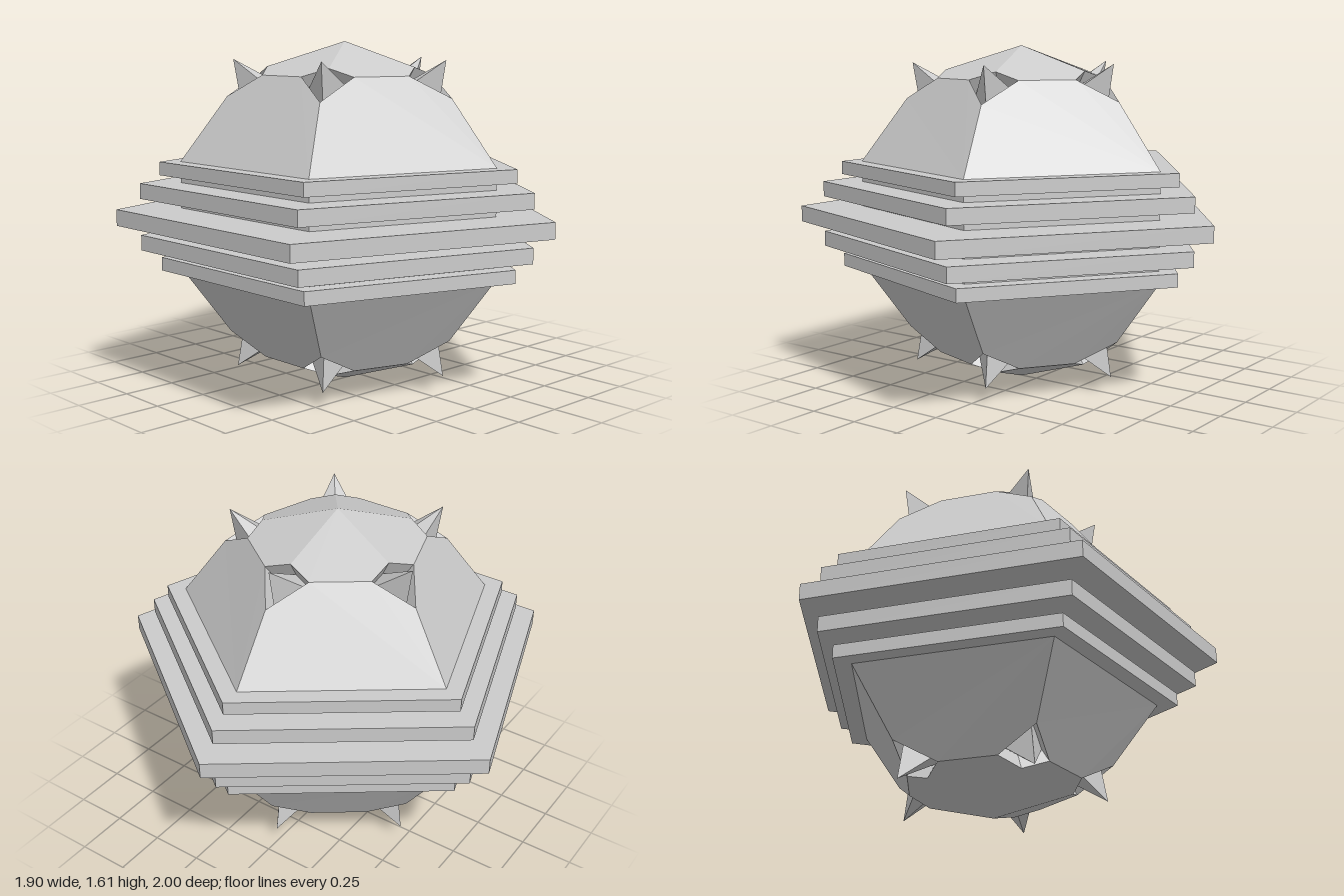
import * as THREE from 'three';

const MID = 0.805; // mirror height of the whole solid
const AXIS = -0.086; // x of the central axis
const STEP = (Math.PI * 2) / 5;
const material = () => new THREE.MeshStandardMaterial({ color: 0xcccccc, flatShading: true });

// Cross-section point (radial, y, sideways) turned to corner k
function at(k, r, y, s = 0) {
  const c = Math.cos(k * STEP), n = Math.sin(k * STEP);
  return new THREE.Vector3(r * c - s * n, y - MID, r * n + s * c);
}

// Flat-shaded mesh from convex polygons, optionally mirrored top to bottom
function polyMesh(name, polygons, flip) {
  const pos = [];
  for (const poly of polygons) {
    for (let i = 1; i < poly.length - 1; i++) {
      const tri = [poly[0], poly[i], poly[i + 1]];
      if (flip) tri.reverse();
      for (const p of tri) pos.push(p.x, flip ? -p.y : p.y, p.z);
    }
  }
  const g = new THREE.BufferGeometry();
  g.setAttribute('position', new THREE.Float32BufferAttribute(pos, 3));
  g.computeVertexNormals();
  const mesh = new THREE.Mesh(g, material());
  mesh.name = name;
  mesh.position.set(AXIS, MID, 0);
  return mesh;
}

// Corner opening: lower corner, two side points, upper point
const rim = (k) => [
  at(k, 0.546, 1.36), at(k, 0.39, 1.46, -0.117),
  at(k, 0.36, 1.496), at(k, 0.39, 1.46, 0.117),
];

function addHalf(group, side, flip) {
  const shell = [];
  for (let k = 0; k < 5; k++) {
    const a = rim(k), b = rim(k + 1);
    // Half of the upright wall, sloping face, cap facet
    shell.push([at(k, 0.766, MID), at(k, 0.766, 1.06), at(k + 1, 0.766, 1.06), at(k + 1, 0.766, MID)]);
    shell.push([at(k, 0.766, 1.06), a[0], a[3], b[1], b[0], at(k + 1, 0.766, 1.06)]);
    shell.push([at(k, 0, 1.61), b[2], b[1], a[3], a[2]]);

    // Sunken socket with a spike rising from its floor
    const centre = a.reduce((sum, p) => sum.add(p), new THREE.Vector3()).multiplyScalar(0.25);
    const push = at(k, -0.048, MID - 0.064);
    const base = a.map((p) => p.clone().sub(centre).multiplyScalar(0.85).add(centre).add(push));
    const tip = at(k, 0.516, 1.53);
    const socket = [], spike = [];
    for (let i = 0; i < 4; i++) {
      const j = (i + 1) % 4;
      socket.push([a[i], a[j], base[j], base[i]]);
      spike.push([base[i], base[j], tip]);
    }
    group.add(polyMesh(side + 'Socket' + (k + 1), socket, flip));
    group.add(polyMesh(side + 'Spike' + (k + 1), spike, flip));
  }
  group.add(polyMesh(side + 'Shell', shell, flip));
}

export function createModel() {
  const model = new THREE.Group();
  model.name = 'spikedPentagonalSolid';
  addHalf(model, 'upper', false);
  addHalf(model, 'lower', true);

  // Stacked belt plates: radius, axis x, bottom, top
  const plates = [
    [0.862, -0.086, 0.55, 0.612],
    [0.948, -0.093, 0.648, 0.72],
    [1.051, -0.101, 0.767, 0.843],
    [0.948, -0.093, 0.89, 0.962],
    [0.862, -0.086, 0.998, 1.06],
  ];
  plates.forEach(([r, x, y0, y1], i) => {
    const g = new THREE.CylinderGeometry(r, r, y1 - y0, 5);
    g.rotateY(Math.PI / 2);
    const plate = new THREE.Mesh(g, material());
    plate.name = 'beltPlate' + (i + 1);
    plate.position.set(x, (y0 + y1) / 2, 0);
    model.add(plate);
  });
  return model;
}
